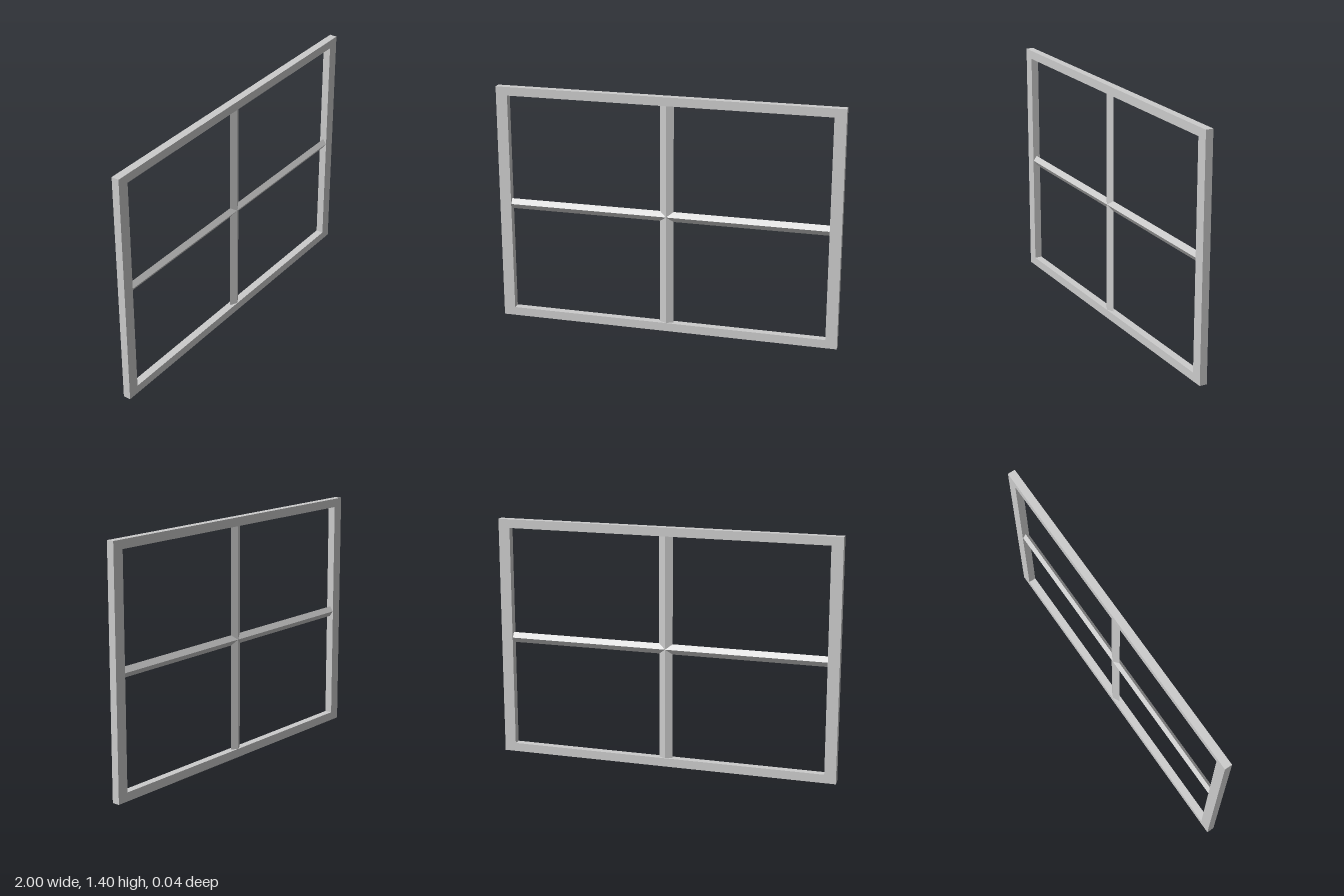
import * as THREE from 'three';

const W = 2, H = 1.4, DEPTH = 0.044;
const STILE = 0.067, RAIL = 0.05;

export function createModel() {
  const model = new THREE.Group();
  model.name = 'windowFrame';
  const material = new THREE.MeshStandardMaterial({ color: 0xcccccc, flatShading: true });

  const rect = (target, x, y) => {
    target.moveTo(-x, -y);
    target.lineTo(x, -y);
    target.lineTo(x, y);
    target.lineTo(-x, y);
    target.closePath();
    return target;
  };

  const add = (name, geometry) => {
    const mesh = new THREE.Mesh(geometry, material);
    mesh.name = name;
    mesh.position.y = H / 2;
    model.add(mesh);
    return mesh;
  };

  // Outer frame: rectangle with one large opening
  const innerX = W / 2 - STILE, innerY = H / 2 - RAIL;
  const outline = rect(new THREE.Shape(), W / 2, H / 2);
  outline.holes.push(rect(new THREE.Path(), innerX, innerY));
  const frame = new THREE.ExtrudeGeometry(outline, { depth: DEPTH, bevelEnabled: false });
  add('outerFrame', frame.translate(0, 0, -DEPTH / 2));

  // Glazing bars: diamond section, ridges facing front and back
  const bar = (halfWidth, length) =>
    new THREE.CylinderGeometry(1, 1, length, 4).scale(halfWidth, 1, 0.02);
  add('verticalBar', bar(0.04, innerY * 2));
  add('horizontalBar', bar(0.03, innerX * 2).rotateZ(Math.PI / 2));

  return model;
}
